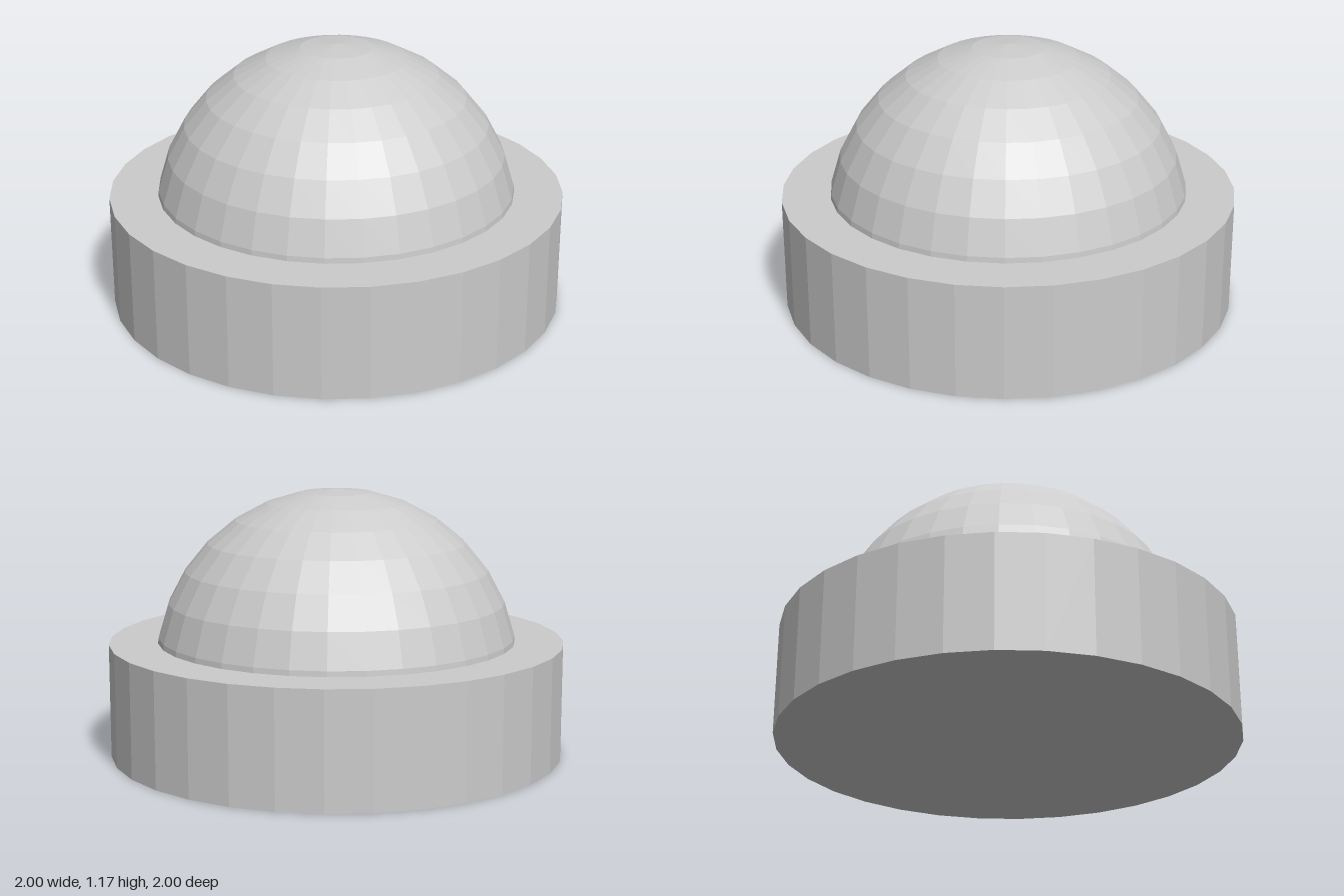
import * as THREE from 'three';

export function createModel() {
  const group = new THREE.Group();
  const material = new THREE.MeshStandardMaterial({ color: 0xcccccc, flatShading: true });

  // Round drum the dome sits in
  const base = new THREE.Mesh(new THREE.CylinderGeometry(1, 1, 0.5, 32), material);
  base.name = 'base';
  base.position.y = 0.25;
  group.add(base);

  // Half sphere, its rim sunk below the top of the base
  const dome = new THREE.Mesh(
    new THREE.SphereGeometry(0.8, 32, 8, 0, Math.PI * 2, 0, Math.PI / 2),
    material
  );
  dome.name = 'dome';
  dome.position.y = 0.367;
  group.add(dome);

  return group;
}
